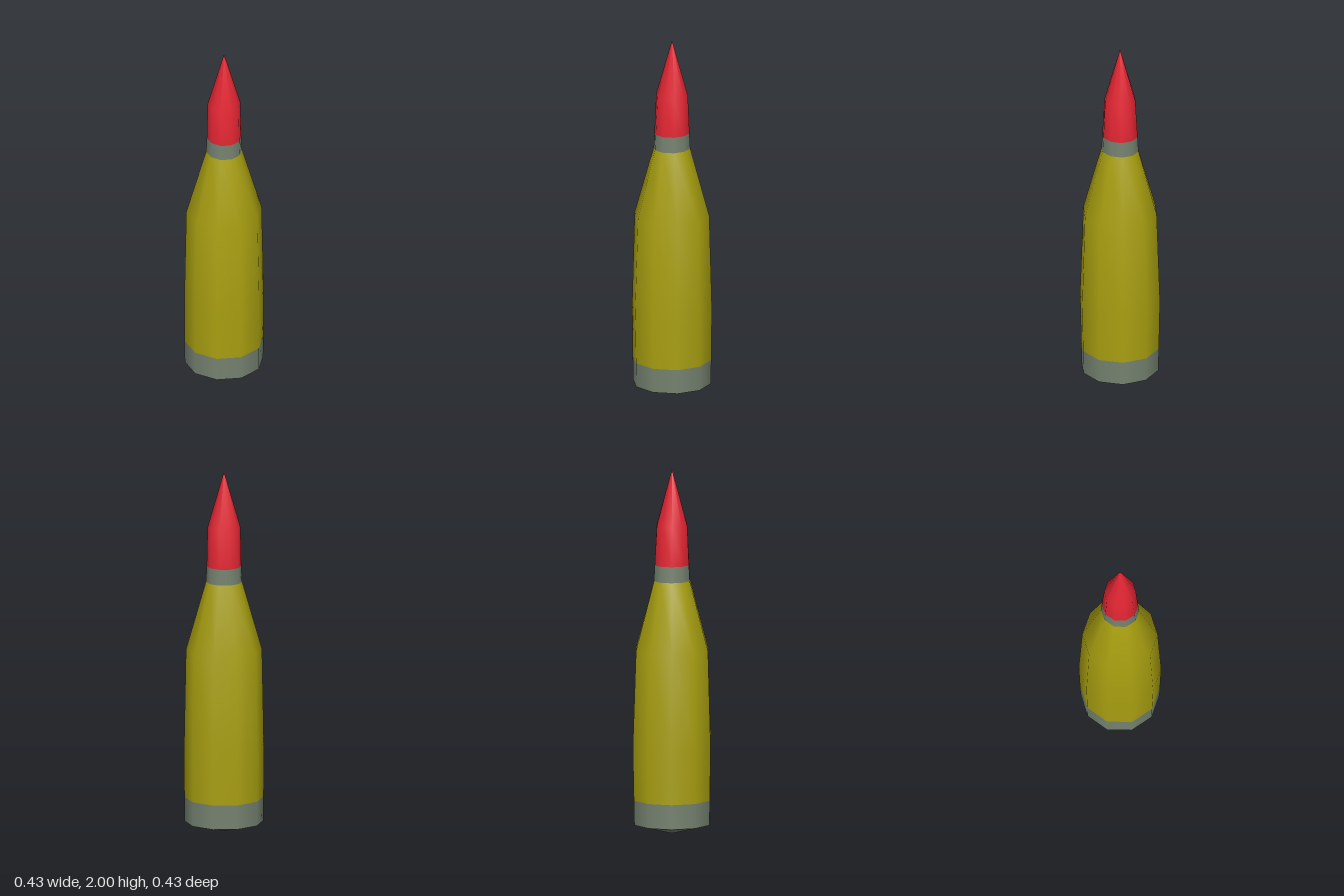
import * as THREE from 'three';

const SIDES = 10;

// Lathe one section from rings [y, radius along x, radius along z].
function section(name, rings, material) {
  const profile = rings.map(([y, rx]) => new THREE.Vector2(rx, y));
  const geometry = new THREE.LatheGeometry(profile, SIDES, Math.PI / 2);
  const pos = geometry.attributes.position;
  // Slightly oval rings: stretch each one in z
  for (let i = 0; i < pos.count; i++) {
    const [, rx, rz] = rings[i % rings.length];
    if (rx > 0) pos.setZ(i, pos.getZ(i) * rz / rx);
  }
  const mesh = new THREE.Mesh(geometry, material);
  mesh.name = name;
  return mesh;
}

export function createModel() {
  const olive = new THREE.MeshStandardMaterial({ name: 'olive yellow', color: 0xa89f10 });
  const grey = new THREE.MeshStandardMaterial({ name: 'grey green', color: 0x758270 });
  const red = new THREE.MeshStandardMaterial({ name: 'red', color: 0xe42633 });

  const model = new THREE.Group();
  model.name = 'shell';
  model.add(
    // Shallow cone closing the bottom
    section('baseCone', [[0, 0, 0], [0.055, 0.214, 0.214]], grey),
    section('baseBand', [[0.055, 0.214, 0.214], [0.19, 0.215, 0.217]], grey),
    // Casing, bulging a little in z, then the shoulder
    section('casing', [[0.19, 0.215, 0.217], [0.48, 0.216, 0.224], [1.01, 0.206, 0.204], [1.388, 0.098, 0.104]], olive),
    section('neckBand', [[1.388, 0.098, 0.104], [1.475, 0.094, 0.099]], grey),
    section('tip', [[1.475, 0.094, 0.099], [1.69, 0.089, 0.085], [2, 0, 0]], red)
  );
  return model;
}
